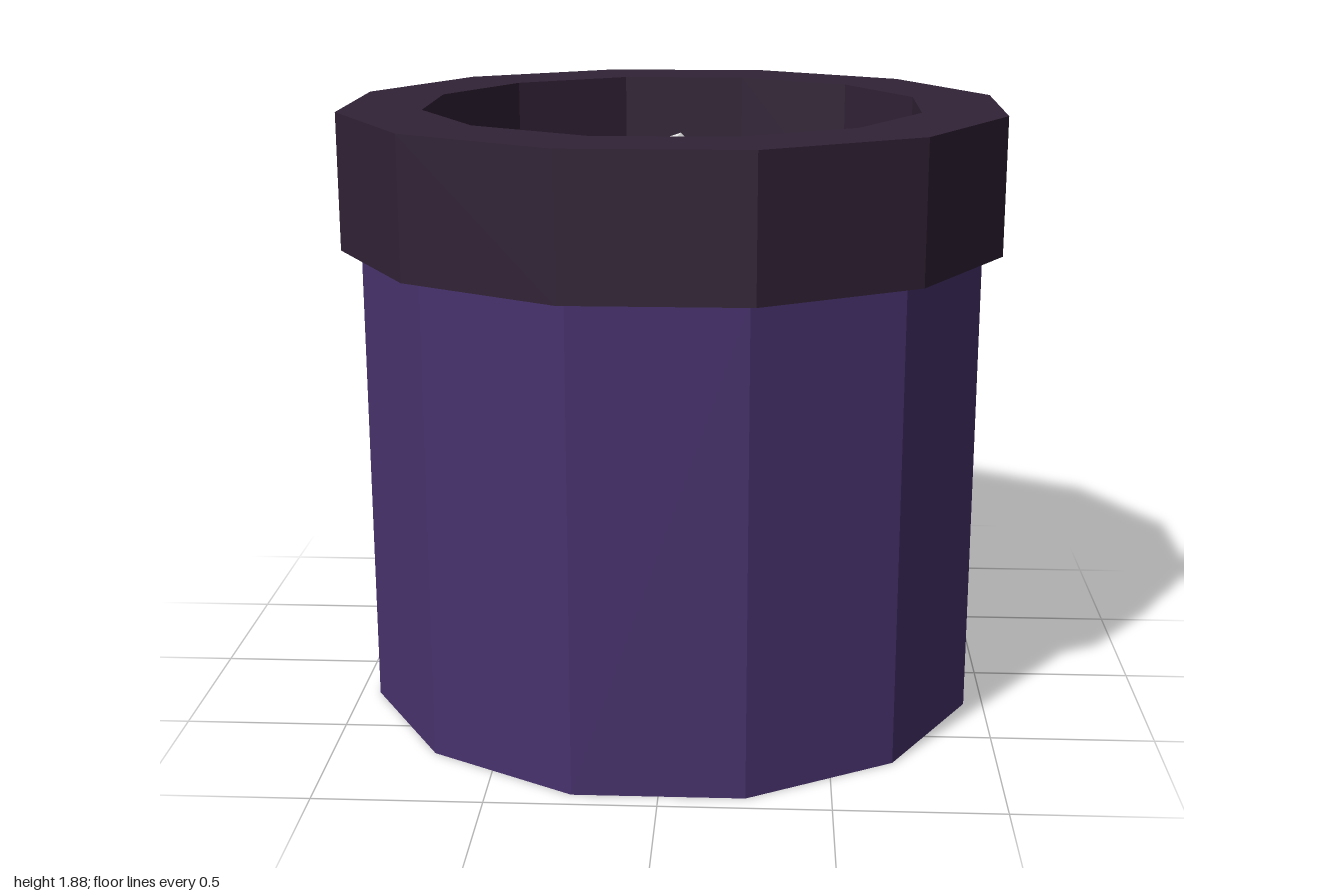
import * as THREE from 'three';

const SIDES = 12;
const START = Math.PI / SIDES;          // flat faces point along x and z
const CORNER = 1 / Math.cos(START);     // apothem -> corner radius
const FLOOR = 1.46, TOP = 1.88, OPENING = 0.75;

const purple = new THREE.MeshStandardMaterial({ name: 'purple', color: 0x47326d });
const darkPlum = new THREE.MeshStandardMaterial({ name: 'dark plum', color: 0x312336 });
const paleStone = new THREE.MeshStandardMaterial({ name: 'pale stone', color: 0xe2e2e2 });

// Separate faces with their own normals
function faceted(geometry) {
  const g = geometry.index ? geometry.toNonIndexed() : geometry;
  g.computeVertexNormals();
  return g;
}

function addMesh(parent, name, geometry, material) {
  const mesh = new THREE.Mesh(faceted(geometry), material);
  mesh.name = name;
  parent.add(mesh);
  return mesh;
}

// Repeatable value in 0..1 for a point, so shared corners move together
function hash(x, y, z, seed) {
  const s = Math.sin(Math.round(x * 100) * 12.99 + Math.round(y * 100) * 78.23
    + Math.round(z * 100) * 37.72 + seed * 53.11) * 43758.5453;
  return s - Math.floor(s);
}

// Pull a point back inside the twelve-sided opening
function keepInside(p) {
  let reach = 0;
  for (let i = 0; i < SIDES; i++) {
    const a = (i * 2 * Math.PI) / SIDES;
    reach = Math.max(reach, p.x * Math.cos(a) + p.z * Math.sin(a));
  }
  const limit = OPENING - 0.005;
  if (reach > limit) {
    p.x *= limit / reach;
    p.z *= limit / reach;
  }
}

// Irregular rock: a jittered icosahedron sunk halfway into the floor
function rock(x, z, rx, rz, height, detail, rough, seed) {
  const g = new THREE.IcosahedronGeometry(1, detail);
  const pos = g.attributes.position;
  const p = new THREE.Vector3();
  const turn = new THREE.Euler(0, seed * 1.7, 0);
  for (let i = 0; i < pos.count; i++) {
    p.fromBufferAttribute(pos, i);
    const h = hash(p.x, p.y, p.z, seed);
    p.multiplyScalar(1 - rough / 2 + rough * h).applyEuler(turn);
    p.set(x + p.x * rx, FLOOR + p.y * height, z + p.z * rz);
    keepInside(p);
    pos.setXYZ(i, p.x, p.y, p.z);
  }
  return g;
}

export function createModel() {
  const model = new THREE.Group();
  model.name = 'stonePot';

  // Body with dark base and inner floor
  const r = 0.94 * CORNER;
  const body = new THREE.CylinderGeometry(r, r, FLOOR, SIDES, 1, false, START);
  body.translate(0, FLOOR / 2, 0);
  addMesh(model, 'body', body, [purple, darkPlum, darkPlum]);

  // Thick overhanging collar
  const inner = OPENING * CORNER, outer = CORNER;
  const profile = [[inner, FLOOR], [outer, FLOOR], [outer, TOP], [inner, TOP], [inner, FLOOR]]
    .map(([x, y]) => new THREE.Vector2(x, y));
  addMesh(model, 'rim', new THREE.LatheGeometry(profile, SIDES, START), darkPlum);

  // Heap of rocks: x, z, radius x, radius z, height
  const heap = new THREE.Group();
  heap.name = 'rockHeap';
  model.add(heap);
  addMesh(heap, 'rubble', rock(0, 0, 0.72, 0.72, 0.09, 3, 0.3, 1), paleStone);
  const rocks = [
    [0.0, -0.5, 0.2, 0.24, 0.25],
    [0.0, -0.02, 0.16, 0.17, 0.25],
    [0.05, 0.42, 0.42, 0.32, 0.13],
    [-0.47, 0.0, 0.23, 0.25, 0.17],
    [-0.35, -0.42, 0.22, 0.24, 0.13],
    [0.38, -0.48, 0.2, 0.2, 0.19],
    [0.6, -0.15, 0.17, 0.22, 0.16],
    [0.36, -0.04, 0.19, 0.22, 0.16],
    [0.48, 0.36, 0.22, 0.21, 0.16],
    [0.62, 0.15, 0.14, 0.15, 0.12],
    [-0.55, 0.28, 0.17, 0.18, 0.11],
    [-0.36, 0.5, 0.22, 0.19, 0.11],
    [-0.2, -0.2, 0.18, 0.16, 0.13],
    [0.2, -0.26, 0.17, 0.15, 0.14],
    [-0.25, 0.22, 0.2, 0.17, 0.13],
  ];
  rocks.forEach(([x, z, rx, rz, h], i) =>
    addMesh(heap, 'rock' + (i + 1), rock(x, z, rx, rz, h, 1, 0.4, i + 2), paleStone));

  return model;
}
